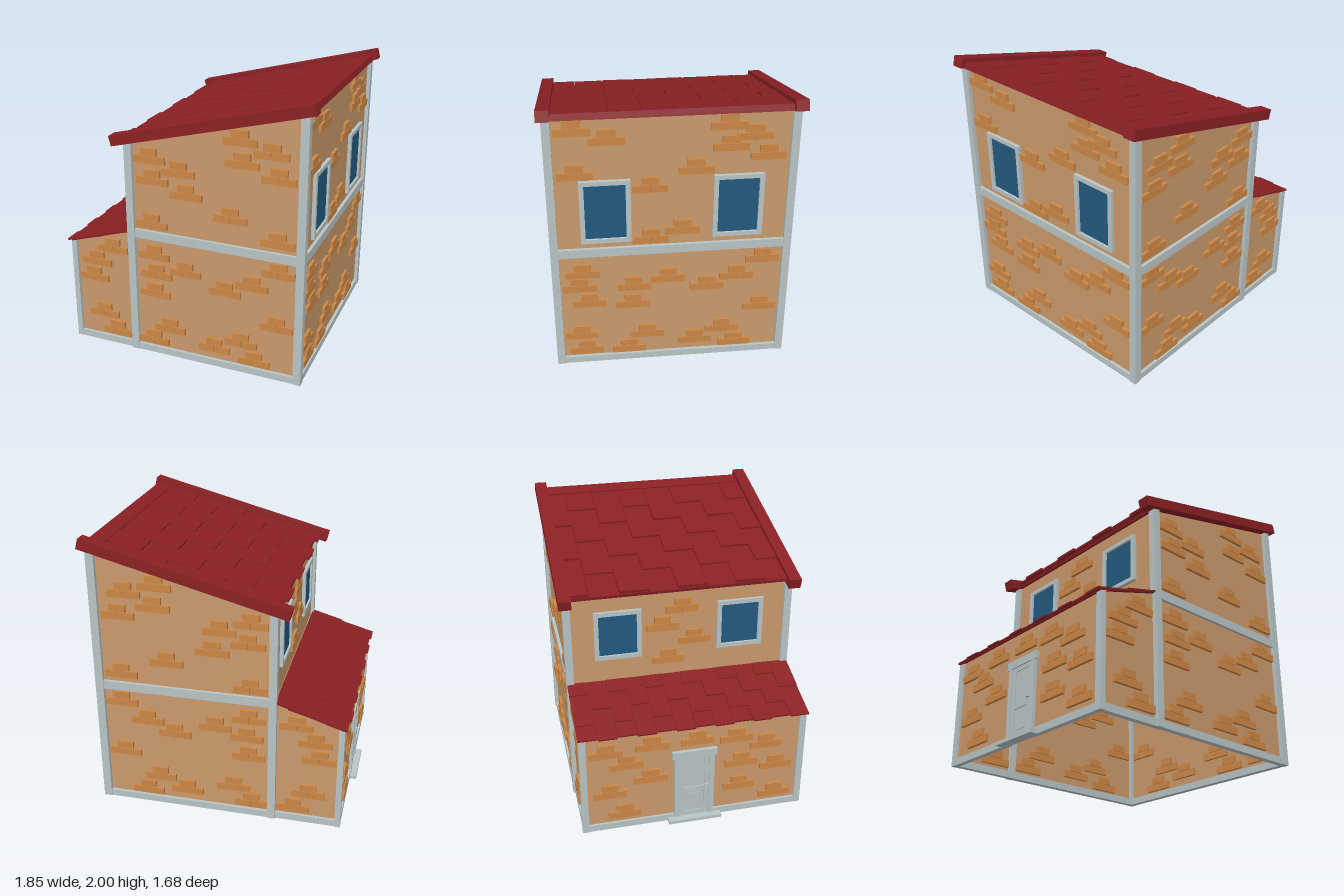
import * as THREE from 'three';
import { mergeGeometries } from 'three/addons/utils/BufferGeometryUtils.js';

const mat = (name, color, side = THREE.FrontSide) => {
  const m = new THREE.MeshStandardMaterial({ color, side });
  m.name = name;
  return m;
};

export function createModel() {
  const house = new THREE.Group();
  house.name = 'house';
  const plaster = mat('plaster', 0xc9996b, THREE.DoubleSide);
  const brick = mat('brick', 0xcb8746);
  const trim = mat('trim', 0xb9c4c5);
  const red = mat('roofRed', 0x8a2024);
  const glass = mat('glass', 0x22597f);

  const add = (parent, name, geo, m) => {
    const mesh = new THREE.Mesh(geo, m);
    mesh.name = name;
    parent.add(mesh);
    return mesh;
  };
  // Box given by its min and max on each axis
  const box = (parent, name, m, x0, x1, y0, y1, z0, z1) => {
    const mesh = add(parent, name, new THREE.BoxGeometry(x1 - x0, y1 - y0, z1 - z0), m);
    mesh.position.set((x0 + x1) / 2, (y0 + y1) / 2, (z0 + z1) / 2);
    return mesh;
  };
  // Post whose top follows the roof slope
  const post = (name, x0, x1, z0, z1, topAt) => {
    const s = new THREE.Shape([[x0, 0], [x1, 0], [x1, topAt(x1)], [x0, topAt(x0)]].map(p => new THREE.Vector2(...p)));
    const geo = new THREE.ExtrudeGeometry(s, { depth: z1 - z0, bevelEnabled: false });
    add(house, name, geo, trim).position.z = z0;
  };
  const mainUnder = x => 1.56 + 0.262 * (x + 0.49);
  const leanUnder = x => 0.775 + 0.32 * (x + 0.89);

  // Walls: each group has local x along the wall and local z outward
  const wall = (name, angle, dist, points) => {
    const g = new THREE.Group();
    g.name = name;
    g.rotation.y = angle;
    g.position.set(Math.sin(angle) * dist, 0, Math.cos(angle) * dist);
    add(g, 'wallPanel', new THREE.ShapeGeometry(new THREE.Shape(points.map(p => new THREE.Vector2(...p)))), plaster);
    house.add(g);
    return g;
  };
  const rect = (w, y0, y1) => [[-w, y0], [w, y0], [w, y1], [-w, y1]];

  // Clusters of two bricks with a third on top
  const bricks = (g, spots, flip = 1) => {
    const parts = [];
    for (const [u, y] of spots)
      for (const [du, dy] of [[-0.0585, 0.026], [0.0585, 0.026], [0, 0.081]])
        parts.push(new THREE.BoxGeometry(0.116, 0.052, 0.042).translate(u * flip + du, y + dy, 0));
    add(g, 'bricks', mergeGeometries(parts), brick);
  };

  const mainSpots = [[-0.235, 1.46], [-0.02, 1.39], [-0.215, 1.31], [0.03, 1.235], [0.415, 1.665], [0.63, 1.6],
    [0.43, 1.515], [0.68, 1.44], [0.35, 1.12], [0.68, 1], [-0.23, 0.985], [-0.22, 0.75], [0.015, 0.66],
    [-0.205, 0.605], [0.31, 0.57], [0.505, 0.65], [0.69, 0.78], [-0.22, 0.455], [0.685, 0.375],
    [-0.11, 0.19], [-0.24, 0.07], [0.23, 0.11], [0.43, 0.195], [0.525, 0.065]];
  const leanSpots = [[-0.55, 0.74], [-0.685, 0.62], [-0.715, 0.49], [-0.645, 0.205], [-0.54, 0.075]];
  const rightSpots = [[-0.63, 1.8], [-0.415, 1.73], [-0.625, 1.49], [-0.145, 1.375], [0.36, 1.8], [0.525, 1.72],
    [0.375, 1.65], [0.62, 1.575], [0.155, 1.495], [-0.14, 0.985], [0.07, 1.045], [-0.605, 0.73], [-0.63, 0.615],
    [-0.565, 0.485], [-0.26, 0.605], [-0.27, 0.46], [-0.025, 0.66], [0.245, 0.575], [0.45, 0.65], [0.625, 0.78],
    [0.625, 0.375], [-0.63, 0.21], [-0.6, 0.075], [-0.3, 0.065], [-0.17, 0.19], [0.17, 0.11], [0.36, 0.195], [0.455, 0.065]];
  const leftLowSpots = [[-0.62, 0.61], [-0.48, 0.5], [-0.6, 0.27], [-0.5, 0.09], [-0.3, 0.63], [-0.31, 0.36], [0.02, 0.63],
    [0.3, 0.61], [0.52, 0.53], [0.34, 0.4], [0.6, 0.34], [0.33, 0.2], [0.6, 0.09]];
  const leftHighSpots = [[0.02, 1.42], [-0.12, 1.29], [0.11, 1.17], [-0.08, 1.03]];

  for (const s of [1, -1]) {
    const label = s > 0 ? 'front' : 'back';
    const angle = s > 0 ? 0 : Math.PI;
    const pts = list => list.map(([x, y]) => [x * s, y]);
    const main = wall(label + 'Wall', angle, 0.785,
      pts([[-0.39, 0], [0.845, 0], [0.845, mainUnder(0.845)], [-0.39, mainUnder(-0.39)]]));
    bricks(main, mainSpots, s);
    const lean = wall(label + 'LeanToWall', angle, 0.78,
      pts([[-0.86, 0], [-0.39, 0], [-0.39, leanUnder(-0.39)], [-0.86, leanUnder(-0.86)]]));
    bricks(lean, leanSpots, s);

    // Timber frame on this side
    const [a, b] = s > 0 ? [0.76, 0.813] : [-0.813, -0.76];
    post(label + 'RightPost', 0.815, 0.872, a, b, mainUnder);
    post(label + 'MiddlePost', -0.415, -0.36, a, b, mainUnder);
    const [c, d] = s > 0 ? [0.758, 0.805] : [-0.805, -0.758];
    post(label + 'LeanToPost', -0.88, -0.84, c, d, leanUnder);
    box(house, label + 'BaseBeam', trim, -0.36, 0.815, 0, 0.05, s > 0 ? 0.765 : -0.807, s > 0 ? 0.807 : -0.765);
    box(house, label + 'LeanToBaseBeam', trim, -0.84, -0.415, 0, 0.05, s > 0 ? 0.76 : -0.8, s > 0 ? 0.8 : -0.76);
    box(house, label + 'MiddleBeam', trim, -0.36, 0.815, 0.9, 0.963, s > 0 ? 0.765 : -0.807, s > 0 ? 0.807 : -0.765);
  }
  box(house, 'rightBaseBeam', trim, 0.825, 0.867, 0, 0.05, -0.76, 0.76);
  box(house, 'rightMiddleBeam', trim, 0.825, 0.867, 0.9, 0.963, -0.76, 0.76);
  for (const s of [1, -1])
    box(house, 'leftBaseBeam', trim, -0.877, -0.84, 0, 0.05, s > 0 ? 0.13 : -0.76, s > 0 ? 0.76 : -0.13);

  const right = wall('rightWall', Math.PI / 2, 0.845, rect(0.785, 0, mainUnder(0.845)));
  bricks(right, rightSpots);
  const leftHigh = wall('leftUpperWall', -Math.PI / 2, 0.39, rect(0.785, 0.92, mainUnder(-0.39)));
  bricks(leftHigh, leftHighSpots);
  const leftLow = wall('leftLowerWall', -Math.PI / 2, 0.86, rect(0.78, 0, leanUnder(-0.86)));
  bricks(leftLow, leftLowSpots);

  // Windows: a pair on each tall side wall
  const frameWindow = (g, u, y0, y1) => {
    const w = new THREE.Group();
    w.name = 'window';
    w.position.x = u;
    g.add(w);
    for (const s of [-1, 1])
      box(w, 'windowJamb', trim, s * 0.151 - 0.016, s * 0.151 + 0.016, y0, y1, -0.02, 0.025);
    box(w, 'windowSill', trim, -0.135, 0.135, y0, y0 + 0.03, -0.02, 0.025);
    box(w, 'windowHead', trim, -0.135, 0.135, y1 - 0.03, y1, -0.02, 0.025);
    box(w, 'windowPane', glass, -0.135, 0.135, y0 + 0.03, y1 - 0.03, 0.002, 0.01);
  };
  for (const s of [-1, 1]) {
    frameWindow(right, s * 0.438, 1.01, 1.475);
    frameWindow(leftHigh, s * 0.438, 1.11, 1.475);
  }

  // Door with frame, raised panels, handle and step
  const door = new THREE.Group();
  door.name = 'door';
  leftLow.add(door);
  box(door, 'doorLeaf', trim, -0.11, 0.11, 0.02, 0.54, 0, 0.008);
  for (const s of [-1, 1]) {
    box(door, 'doorJamb', trim, s * 0.125 - 0.018, s * 0.125 + 0.018, 0, 0.54, -0.005, 0.024);
    box(door, 'doorStile', trim, s * 0.09 - 0.017, s * 0.09 + 0.017, 0.02, 0.54, 0, 0.016);
  }
  for (const y of [0.02, 0.23, 0.5]) box(door, 'doorRail', trim, -0.073, 0.073, y, y + 0.04, 0, 0.016);
  box(door, 'lowerPanel', trim, -0.05, 0.05, 0.08, 0.21, 0, 0.013);
  box(door, 'doorLintel', trim, -0.16, 0.16, 0.53, 0.585, -0.005, 0.026);
  box(door, 'doorHandle', trim, 0.075, 0.1, 0.275, 0.287, 0.015, 0.034);
  box(door, 'doorStep', trim, -0.193, 0.193, 0, 0.025, -0.01, 0.066);

  // Roofs: local x runs up the slope, local y is the normal
  const roofGroup = (name, x, y, slope) => {
    const g = new THREE.Group();
    g.name = name;
    g.position.set(x, y, 0);
    g.rotation.z = Math.atan(slope);
    house.add(g);
    return g;
  };
  // Staggered tiles, each raised at its lower end
  const tiles = (g, zs, starts, x0, end, slope, thick, tilt, base) => {
    const k = Math.sqrt(1 + slope * slope);
    const parts = [];
    for (let i = 0; i < zs.length - 1; i++) {
      const row = [...starts[i % 2], end];
      const width = zs[i + 1] - zs[i];
      for (let j = 0; j < row.length - 1; j++) {
        const a = (row[j] - x0) * k, len = (row[j + 1] - row[j]) * k + (j < row.length - 2 ? 0.02 : 0);
        const skew = ((i * 7 + j * 3) % 5 - 2) * 0.004;
        parts.push(new THREE.BoxGeometry(len, thick, width - 0.003)
          .rotateY(skew).rotateZ(-tilt)
          .translate(a + len / 2, base + thick / 2 + Math.sin(tilt) * 0.03, (zs[i] + zs[i + 1]) / 2));
      }
    }
    add(g, 'roofTiles', mergeGeometries(parts), red);
  };

  const main = roofGroup('mainRoof', -0.44, mainUnder(-0.44), 0.262);
  box(main, 'roofDeck', red, 0.03, 1.375, 0, 0.026, -0.76, 0.76);
  box(main, 'ridgeStrip', red, 1.27, 1.375, 0, 0.045, -0.76, 0.76);
  for (const s of [-1, 1])
    box(main, 'bargeBoard', red, -0.053, 1.405, 0, 0.073, s * 0.799 - 0.043, s * 0.799 + 0.043);
  const mainZ = [-0.76, -0.63, -0.425, -0.22, -0.02, 0.19, 0.395, 0.6, 0.76];
  tiles(main, mainZ, [[-0.41, -0.02, 0.37], [-0.44, -0.2, 0.17, 0.56]], -0.44, 0.8, 0.262, 0.02, 0.035, 0.023);

  const lean = roofGroup('leanToRoof', -0.89, leanUnder(-0.89), 0.32);
  box(lean, 'leanToDeck', red, 0.01, 0.51, 0, 0.008, -0.8, 0.8);
  const leanZ = Array.from({ length: 13 }, (_, i) => -0.81 + i * 0.135);
  tiles(lean, leanZ, [[-0.89, -0.77, -0.51], [-0.903, -0.645]], -0.89, -0.4, 0.32, 0.012, 0.04, 0.004);

  return house;
}
